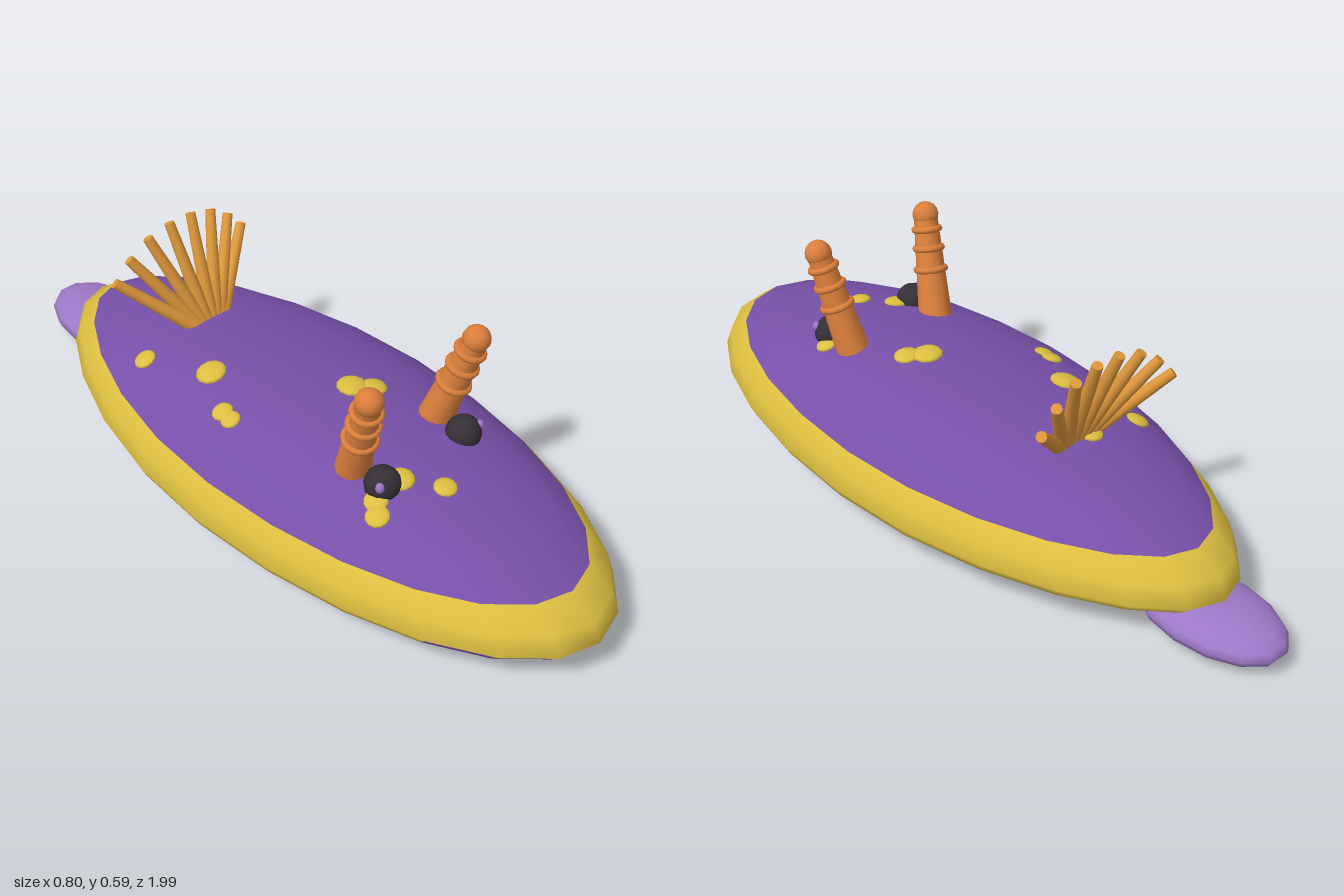
import * as THREE from 'three';

const mat = (name, color, side = THREE.FrontSide) => {
  const m = new THREE.MeshStandardMaterial({ color, side });
  m.name = name;
  return m;
};

// Body is a squashed ball: tall dome above the rim, shallow foot below
const HALF_W = 0.4, HALF_L = 0.915, MID_Z = 0.085, RIM_Y = 0.11, DOME = 0.22, FOOT = 0.095;
const taper = (t) => (t < 0 ? 1 - 0.17 * t * t : 1);

// Point and normal of the dome above (x, z)
function onBack(x, z) {
  const t = (z - MID_Z) / HALF_L, u = x / (HALF_W * taper(t));
  const h = Math.sqrt(Math.max(0, 1 - t * t - u * u));
  return {
    point: new THREE.Vector3(x, RIM_Y + DOME * h, z),
    normal: new THREE.Vector3(u / HALF_W, h / DOME, t / HALF_L).normalize(),
  };
}

function bodyGeometry() {
  const geo = new THREE.SphereGeometry(1, 24, 14);
  const pos = geo.attributes.position, nor = geo.attributes.normal, idx = geo.index;
  const bandTop = Math.sin(Math.PI / 7) + 0.01, bandLow = -Math.sin(Math.PI / 14) - 0.01;
  const skin = [], band = [];
  // Sort faces: the rim band dips one row lower except around the head
  for (let i = 0; i < idx.count; i += 3) {
    const f = [idx.getX(i), idx.getX(i + 1), idx.getX(i + 2)];
    const ys = f.map((v) => pos.getY(v));
    const z = f.reduce((s, v) => s + pos.getZ(v), 0) / 3;
    const low = z < 0.69 ? bandLow : -0.01;
    const inBand = Math.max(...ys) < bandTop && Math.min(...ys) > low;
    (inBand ? band : skin).push(...f);
  }
  geo.setIndex([...skin, ...band]);
  geo.clearGroups();
  geo.addGroup(0, skin.length, 0);
  geo.addGroup(skin.length, band.length, 1);
  // Shape the ball
  for (let i = 0; i < pos.count; i++) {
    const x = pos.getX(i), y = pos.getY(i), z = pos.getZ(i);
    const h = y >= 0 ? DOME : FOOT;
    pos.setXYZ(i, x * HALF_W * taper(z), RIM_Y + y * h, MID_Z + z * HALF_L);
    const n = new THREE.Vector3(x / HALF_W, y / h, z / HALF_L).normalize();
    nor.setXYZ(i, n.x, n.y, n.z);
  }
  return geo;
}

export function createModel() {
  const root = new THREE.Group();
  root.name = 'seaSlug';
  const purple = mat('purple skin', 0x7650a8);
  const yellow = mat('yellow rim', 0xdcbe40);
  const lavender = mat('lavender tail', 0x9c78c6);
  const orange = mat('orange horn', 0xdb7f3c);
  const amber = mat('amber gill', 0xdc963a);
  const black = mat('dark eye', 0x352f36);
  const UP = new THREE.Vector3(0, 1, 0);

  const add = (parent, name, geo, material) => {
    const m = new THREE.Mesh(geo, material);
    m.name = name;
    parent.add(m);
    return m;
  };
  const ball = (parent, name, r, material, p, w = 14, h = 10) => {
    const m = add(parent, name, new THREE.SphereGeometry(r, w, h), material);
    m.position.set(...p);
    return m;
  };

  add(root, 'body', bodyGeometry(), [purple, yellow]);

  // Flat tail under the rear end
  ball(root, 'tail', 1, lavender, [0, 0.053, -0.79], 14, 10).scale.set(0.125, 0.053, 0.21);

  // Spots on the back: x, z, radius
  const spots = [
    [-0.21, -0.34, 0.03], [-0.155, -0.14, 0.04], [-0.225, -0.015, 0.028], [-0.23, 0.02, 0.026],
    [0.045, 0.16, 0.04], [0.085, 0.195, 0.034], [-0.2, 0.495, 0.03], [-0.035, 0.55, 0.029],
    [-0.095, 0.465, 0.034], [-0.175, 0.465, 0.03], [0.175, 0.42, 0.028], [-0.04, -0.35, 0.03],
  ];
  for (const [x, z, r] of spots) {
    const { point, normal } = onBack(x, z);
    const s = ball(root, 'spot', 1, yellow, point.toArray(), 12, 8);
    s.scale.set(r, r * 0.36, r);
    s.quaternion.setFromUnitVectors(UP, normal);
  }

  for (const side of [1, -1]) {
    // Ringed horn leaning forward and outward
    const base = new THREE.Vector3(side * 0.135, 0.27, 0.345);
    const axis = new THREE.Vector3(side * 0.175, 0.553, 0.432).sub(base);
    const len = axis.length();
    const horn = new THREE.Group();
    horn.name = side > 0 ? 'leftHorn' : 'rightHorn';
    horn.position.copy(base);
    horn.quaternion.setFromUnitVectors(UP, axis.normalize());
    root.add(horn);
    add(horn, 'stalk', new THREE.CylinderGeometry(0.031, 0.046, len, 14), orange).position.y = len / 2;
    ball(horn, 'tip', 0.035, orange, [0, len, 0], 12, 8);
    [[0.51, 0.038], [0.7, 0.035], [0.87, 0.033]].forEach(([f, r]) => {
      const ring = add(horn, 'ring', new THREE.TorusGeometry(r, 0.009, 8, 16), orange);
      ring.rotation.x = Math.PI / 2;
      ring.position.y = f * len;
    });

    // Eye with a small pale glint
    ball(root, 'eye', 0.045, black, [side * 0.137, 0.304, 0.447]);
    const glint = ball(root, 'eyeGlint', 0.014, lavender, [side * 0.168, 0.322, 0.469], 10, 8);
    glint.scale.set(0.8, 1, 0.8);
  }

  // Fan of gills: tip x and tip height for one half, mirrored
  const gills = new THREE.Group();
  gills.name = 'gillFan';
  root.add(gills);
  const tips = [[0.035, 0.558], [0.104, 0.54], [0.165, 0.5], [0.212, 0.448]];
  for (const side of [1, -1]) {
    tips.forEach(([x, y], i) => {
      const a = new THREE.Vector3(side * (0.008 + i * 0.012), 0.29, -0.33);
      const b = new THREE.Vector3(side * x, y, -0.435 - i * 0.003);
      const d = b.clone().sub(a);
      const g = add(gills, 'gill', new THREE.CylinderGeometry(0.0135, 0.02, d.length(), 10), amber);
      g.position.copy(a).add(b).multiplyScalar(0.5);
      g.quaternion.setFromUnitVectors(UP, d.normalize());
    });
  }
  return root;
}
